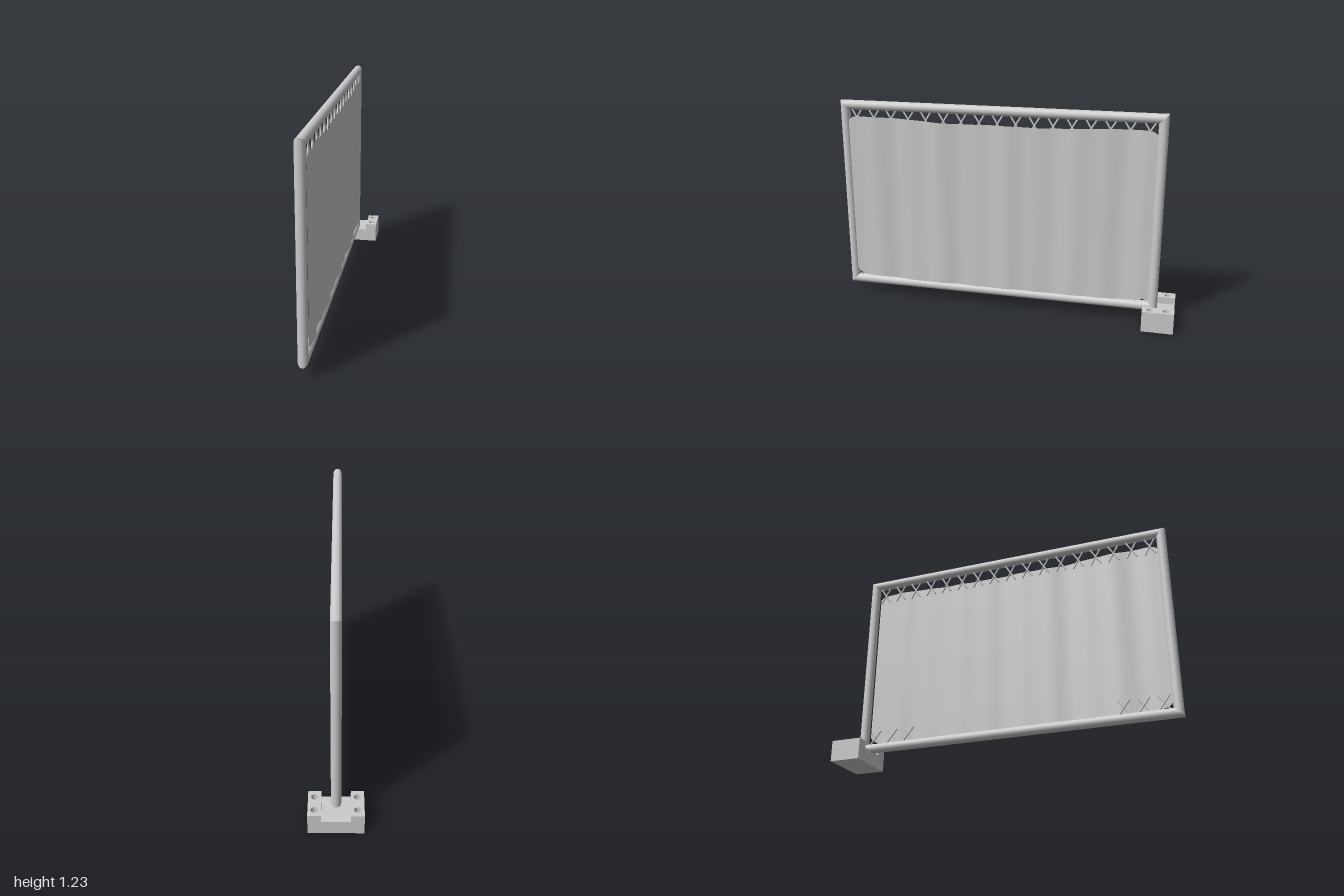
import * as THREE from 'three';

const R = 0.0275;                                   // frame tube radius
const Z0 = -0.9, Z1 = 1, Y0 = 0.07, Y1 = 1.225;     // outer frame extents
const CZ = (Z0 + Z1) / 2, CY = (Y0 + Y1) / 2;

export function createModel() {
  const root = new THREE.Group();
  root.name = 'lacedPanelFrame';
  const mat = new THREE.MeshStandardMaterial({ color: 0xcccccc });
  const sheetMat = new THREE.MeshStandardMaterial({ color: 0xcccccc, side: THREE.DoubleSide });

  const add = (name, geo, parent = root, material = mat) => {
    const m = new THREE.Mesh(geo, material);
    m.name = name;
    parent.add(m);
    return m;
  };

  // Frame: four round bars with mitred ends
  const frame = new THREE.Group();
  frame.name = 'frame';
  root.add(frame);
  const halfZ = (Z1 - Z0) / 2 - R, halfY = (Y1 - Y0) / 2 - R;
  ['topBar', 'frontBar', 'bottomBar', 'backBar'].forEach((name, i) => {
    const t = (i * Math.PI) / 2;
    const half = i % 2 ? halfY : halfZ, reach = i % 2 ? halfZ : halfY;
    const geo = new THREE.CylinderGeometry(R, R, 2 * half, 24, 1, true);
    const p = geo.attributes.position;
    for (let k = 0; k < p.count; k++) p.setY(k, Math.sign(p.getY(k)) * (half + p.getX(k)));
    const out = new THREE.Vector3(0, Math.cos(t), Math.sin(t));
    const along = new THREE.Vector3(0, -Math.sin(t), Math.cos(t));
    const basis = new THREE.Matrix4().makeBasis(out, along, new THREE.Vector3(1, 0, 0));
    basis.setPosition(0, CY + out.y * reach, CZ + out.z * reach);
    geo.applyMatrix4(basis);
    add(name, geo, frame);
  });

  // Panel: thin sheet, gently rippled along z, with uneven top and bottom hems
  const halfW = 0.897;
  const sheet = new THREE.PlaneGeometry(2, 1, 120, 6);
  const p = sheet.attributes.position;
  for (let k = 0; k < p.count; k++) {
    const u = p.getX(k), v = p.getY(k) + 0.5;
    const corner = Math.pow(Math.abs(u), 40);
    const top = 1.116 + 0.026 * u * u + 0.003 * Math.cos(u * 10) - 0.03 * corner;
    const bottom = 0.122 + 0.016 * Math.pow(u, 4) + 0.002 * Math.sin(u * 14) + 0.035 * corner;
    const ripple = 0.021 + 0.005 * Math.sin(u * 13 + 0.6) + 0.003 * Math.sin(u * 29);
    p.setXYZ(k, ripple, bottom + (top - bottom) * v, CZ - u * halfW);
  }
  sheet.computeVertexNormals();
  add('panel', sheet, root, sheetMat);

  // Laces: crossed cords tying the sheet to the bars
  const laces = new THREE.Group();
  laces.name = 'laces';
  root.add(laces);
  const up = new THREE.Vector3(0, 1, 0);
  const cord = (name, a, b) => {
    const d = b.clone().sub(a);
    const m = add(name, new THREE.CylinderGeometry(0.005, 0.005, d.length(), 8), laces);
    m.position.copy(a).add(b).multiplyScalar(0.5);
    m.quaternion.setFromUnitVectors(up, d.normalize());
  };
  const cross = (name, z, yBar, yPanel) => {
    for (const s of [-1, 1]) {
      cord(name, new THREE.Vector3(s * 0.003, yBar, z + s * 0.031),
        new THREE.Vector3(0.006 + s * 0.003, yPanel, z - s * 0.031));
    }
  };
  const count = 17;
  for (let i = 0; i < count; i++) {
    const z = CZ + (i - (count - 1) / 2) * 0.1065;
    cross('topLace', z, 1.175, 1.075);
    if (i < 3 || i >= count - 3) cross('bottomLace', z, 0.12, 0.205);
  }

  // Base: grooved block with two raised, drilled ears
  const base = new THREE.Group();
  base.name = 'base';
  root.add(base);
  const W = 0.147, slot = 0.077, slabH = 0.082, H = 0.122, zA = -1, zB = -0.82;
  add('baseSlab', new THREE.BoxGeometry(2 * W, slabH, zB - zA), base)
    .position.set(0, slabH / 2, (zA + zB) / 2);
  for (const s of [-1, 1]) {
    const w = (W - slot) / 2, d = (zB - zA) / 2;
    const shape = new THREE.Shape([[-w, -d], [w, -d], [w, d], [-w, d]].map(c => new THREE.Vector2(...c)));
    for (const h of [-0.046, 0.046]) {
      shape.holes.push(new THREE.Path().absarc(0, h, 0.019, 0, Math.PI * 2, true));
    }
    const ear = new THREE.ExtrudeGeometry(shape, { depth: H - slabH, bevelEnabled: false, curveSegments: 16 });
    ear.rotateX(-Math.PI / 2);
    add(s > 0 ? 'leftEar' : 'rightEar', ear, base)
      .position.set(s * (W + slot) / 2, slabH, (zA + zB) / 2);
  }
  return root;
}
